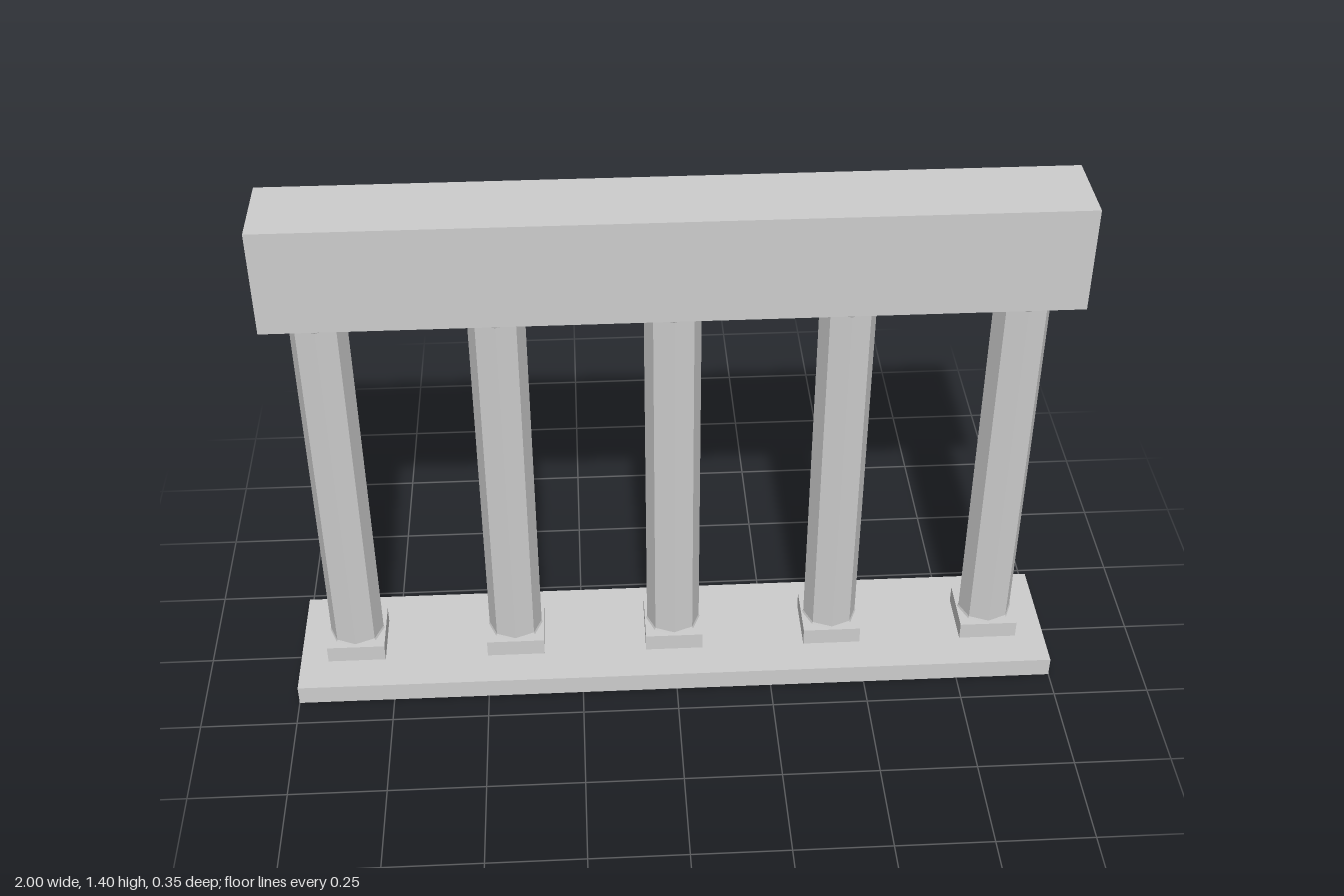
import * as THREE from 'three';

export function createModel() {
  const group = new THREE.Group();
  group.name = 'colonnade';
  const stone = new THREE.MeshStandardMaterial({ color: 0xcccccc });
  stone.name = 'pale grey stone';

  const add = (parent, name, geometry, x, y, z) => {
    const mesh = new THREE.Mesh(geometry, stone);
    mesh.name = name;
    mesh.position.set(x, y, z);
    parent.add(mesh);
  };
  // box given by its bottom and top heights
  const block = (parent, name, w, y0, y1, d) =>
    add(parent, name, new THREE.BoxGeometry(w, y1 - y0, d), 0, (y0 + y1) / 2, 0);
  // faceted geometry with one normal per face
  const faceted = (geometry) => {
    const flat = geometry.toNonIndexed();
    flat.computeVertexNormals();
    return flat;
  };

  // floor slab and the beam carried by the columns
  block(group, 'floorSlab', 2, 0, 0.053, 0.35);
  block(group, 'beam', 1.952, 1.127, 1.397, 0.212);

  // octagonal shaft, slightly flared at foot and head
  const profile = [[0.074, 0.097], [0.07, 0.106], [0.07, 1.1], [0.077, 1.117]]
    .map(([r, y]) => new THREE.Vector2(r, y));
  const shaft = faceted(new THREE.LatheGeometry(profile, 8));

  // thin square capital, wider at the top
  const capital = faceted(new THREE.CylinderGeometry(
    0.083 * Math.SQRT2, 0.077 * Math.SQRT2, 0.013, 4).rotateY(Math.PI / 4));

  // five columns
  for (let i = -2; i <= 2; i++) {
    const column = new THREE.Group();
    column.name = 'column';
    column.position.x = i * 0.4245 - 0.002;
    block(column, 'plinth', 0.152, 0.053, 0.1, 0.152);
    add(column, 'shaft', shaft, 0, 0, 0);
    add(column, 'capital', capital, 0, 1.1205, 0);
    group.add(column);
  }
  return group;
}
